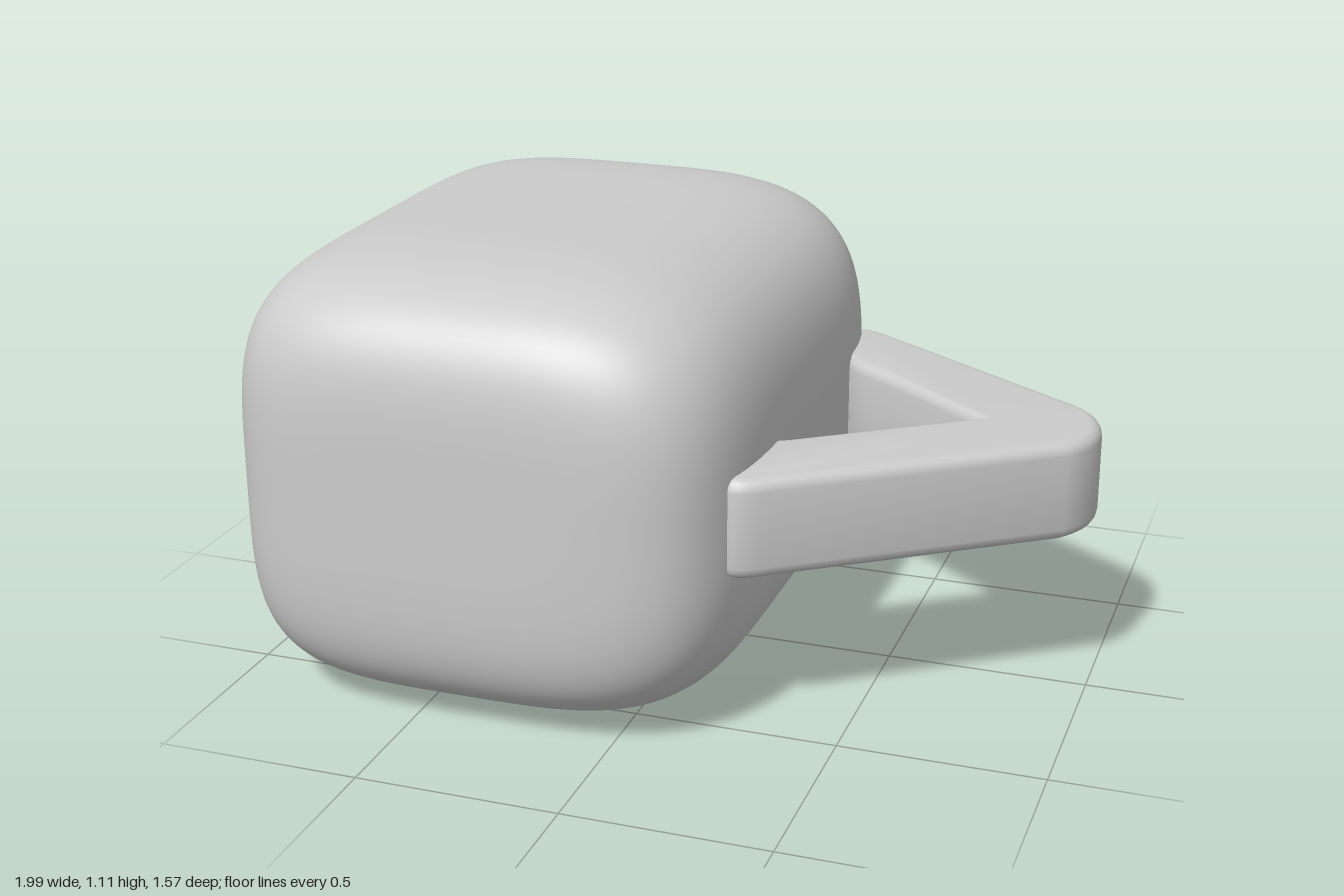
import * as THREE from 'three';
import { mergeVertices, toCreasedNormals } from 'three/addons/utils/BufferGeometryUtils.js';

const material = new THREE.MeshStandardMaterial({ color: 0xcccccc });

// Soft pillow-like block: a cube's points pushed out to a superellipsoid
function softBlock(half, seg = 40) {
  let geo = new THREE.BoxGeometry(2, 2, 2, seg, seg, seg);
  geo.deleteAttribute('uv');
  geo.deleteAttribute('normal');
  geo = mergeVertices(geo, 1e-4);
  const pos = geo.attributes.position;
  const q = 4.8;
  for (let i = 0; i < pos.count; i++) {
    const x = pos.getX(i), y = pos.getY(i), z = pos.getZ(i);
    const p = x > 0 ? 3.4 : 4.1; // rounder on the handle side
    const ring = Math.pow(Math.abs(x) ** p + Math.abs(y) ** p, 1 / p);
    const k = 1 / Math.pow(ring ** q + Math.abs(z) ** q, 1 / q);
    pos.setXYZ(i, x * k * half.x, y * k * half.y, z * k * half.z);
  }
  geo.computeVertexNormals();
  return geo;
}

// V-shaped band, drawn from above (shape y becomes z)
function handleGeometry(bottom, top) {
  const s = new THREE.Shape();
  s.moveTo(0.22, -0.58);
  s.lineTo(0.255, -0.605);
  s.quadraticCurveTo(0.29, -0.61, 0.36, -0.56);
  s.lineTo(0.91, -0.19);
  s.bezierCurveTo(1.0, -0.13, 1.03, 0.01, 0.94, 0.11);
  s.lineTo(0.36, 0.53);
  s.quadraticCurveTo(0.29, 0.59, 0.255, 0.58);
  s.lineTo(0.22, 0.56);
  s.lineTo(0.22, 0.31);
  s.lineTo(0.3, 0.265);
  s.lineTo(0.7, -0.02);
  s.lineTo(0.4, -0.25);
  s.quadraticCurveTo(0.31, -0.3, 0.28, -0.35);
  s.lineTo(0.22, -0.38);
  s.closePath();
  const bevel = 0.03;
  const geo = new THREE.ExtrudeGeometry(s, {
    depth: top - bottom - 2 * bevel,
    bevelEnabled: true,
    bevelSize: bevel,
    bevelThickness: bevel,
    bevelOffset: -bevel,
    bevelSegments: 4,
    curveSegments: 10,
  });
  geo.rotateX(Math.PI / 2);
  geo.translate(0, top - bevel, 0);
  return toCreasedNormals(geo, 0.7);
}

export function createModel() {
  const group = new THREE.Group();
  group.name = 'mug';

  const body = new THREE.Mesh(softBlock(new THREE.Vector3(0.645, 0.553, 0.783)), material);
  body.name = 'body';
  body.position.set(-0.355, 0.555, 0);
  group.add(body);

  const handle = new THREE.Mesh(handleGeometry(0.425, 0.67), material);
  handle.name = 'handle';
  group.add(handle);

  return group;
}
